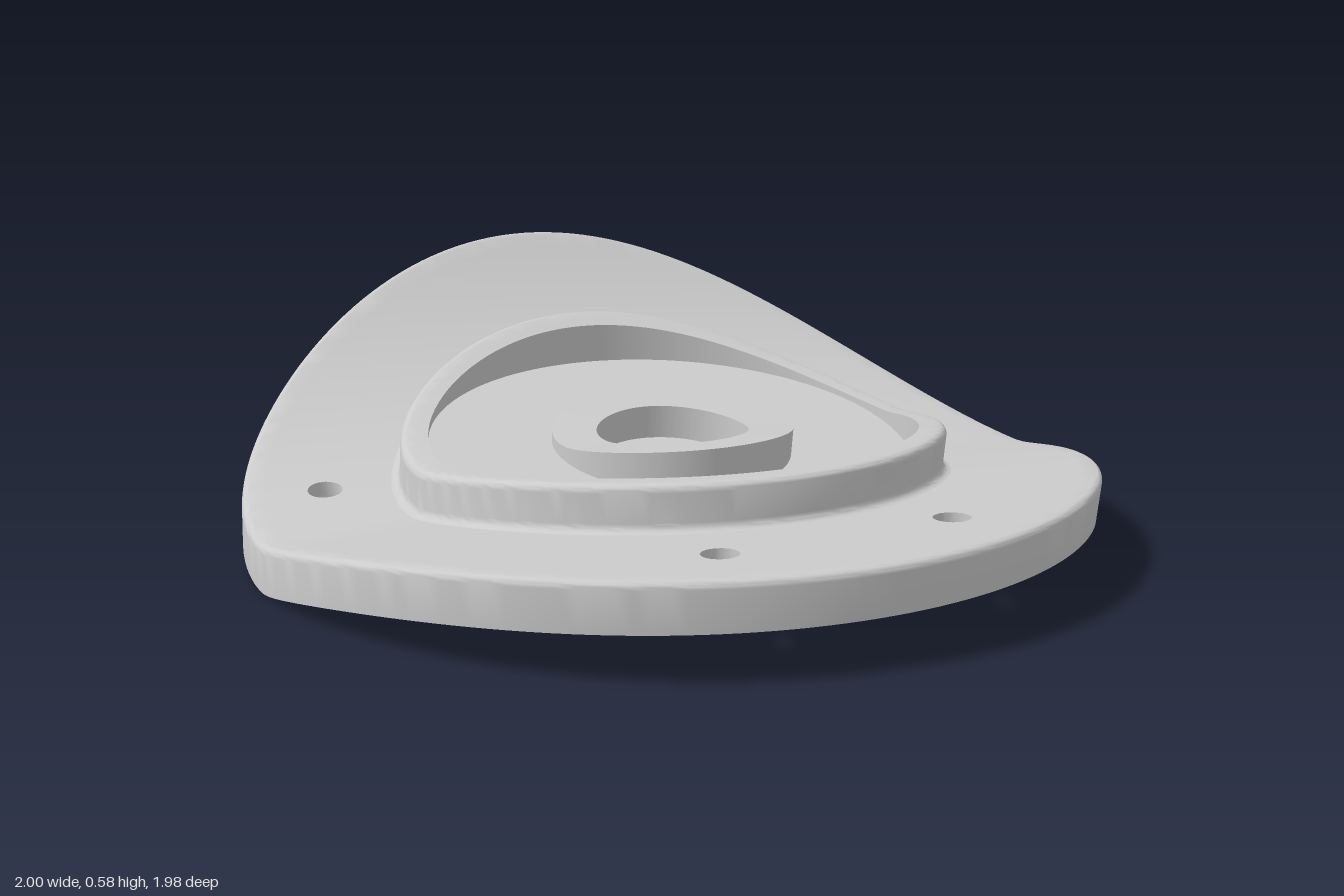
import * as THREE from 'three';
import { toCreasedNormals } from 'three/addons/utils/BufferGeometryUtils.js';

const SEGMENTS = 180;
const THICK = 0.11, RAISED = 0.216;
const TILT = 0.14; // the part's axis leans forward by this slope
const FLOOR = 0.21, SOCKET = 0.15; // heights of the flat, tilted floors at z = 0

// Height of the underside: a saddle that rises steeply at the back, gently in front
function baseHeight(x, z) {
  const t = Math.hypot(z, 0.05) - 0.05;
  const rise = 0.363 * z * z + 0.094 * z ** 4;
  const middle = 0.03 + (z < 0 ? rise : 0.145 * t - 0.058 * t * t);
  const edge = z < 0 ? rise : 0.12 * (1 - (1 - t) ** 2);
  return THREE.MathUtils.lerp(middle, edge, x * x);
}

// Place a point of the tilted cylinder, either h above the saddle or on a tilted plane
function bend(x, z, h, planar = false) {
  let y = 0.15, zs = z;
  for (let n = 0; n < 8; n++) {
    zs = 1.01 * z + TILT * y - 0.046;
    y = planar ? h - TILT * zs : baseHeight(x, zs) + h * (zs < 0 ? 1 + 0.25 * zs * zs : 1);
  }
  return new THREE.Vector3(x, y, zs);
}

const flat = (i, r) => {
  const a = (((i + SEGMENTS) % SEGMENTS) / SEGMENTS) * Math.PI * 2;
  return [r * Math.cos(a), r * Math.sin(a)];
};

// Collects quads and turns them into a mesh with creased normals
class Skin {
  constructor() { this.points = []; }
  tri(a, b, c) {
    if (a.distanceTo(b) < 1e-6 || b.distanceTo(c) < 1e-6 || a.distanceTo(c) < 1e-6) return;
    for (const p of [a, b, c]) this.points.push(p.x, p.y, p.z);
  }
  quad(a, b, c, d) { this.tri(a, b, c); this.tri(a, c, d); }
  // Sweep a profile of [radius, height, planar] round the axis
  sweep(profile, skip = () => false) {
    const at = (k, [r, h, planar]) => bend(...flat(k, r), h, planar);
    for (let j = 0; j < profile.length - 1; j++) {
      const p = profile[j], q = profile[j + 1];
      for (let i = 0; i < SEGMENTS; i++) {
        if (!skip(i, p[0], q[0])) this.quad(at(i, p), at(i, q), at(i + 1, q), at(i + 1, p));
      }
    }
  }
  mesh(name) {
    const g = new THREE.BufferGeometry();
    g.setAttribute('position', new THREE.Float32BufferAttribute(this.points, 3));
    const m = new THREE.Mesh(toCreasedNormals(g, 0.6), new THREE.MeshStandardMaterial({ color: 0xcccccc }));
    m.name = name;
    return m;
  }
}

// Quarter-round from outer wall to top
function fillet(r, h, size, steps = 5) {
  return Array.from({ length: steps + 1 }, (_, k) => {
    const a = (k / steps) * Math.PI / 2;
    return [r - size + size * Math.cos(a), h - size + size * Math.sin(a)];
  });
}

// Bolt holes: grid cells round each hole are replaced by a ring of quads
const HOLES = [1, -1].flatMap(s => [[s * 0.27, 0.774], [s * 0.787, -0.2]]).map(([x, z]) => {
  const k = Math.round(Math.atan2(z, x) / (Math.PI * 2) * SEGMENTS);
  return { x, z, k: (k + SEGMENTS) % SEGMENTS };
});
const HOLE_R = 0.04, BORE_R = 0.08, BORE_DEPTH = 0.075, SPAN = 4;
const PATCH = [0.71, 0.76, 0.813, 0.865, 0.915];

function isPatch(i, r0, r1) {
  const lo = Math.min(r0, r1), hi = Math.max(r0, r1);
  if (lo < PATCH[0] - 1e-6 || hi > PATCH[4] + 1e-6) return false;
  return HOLES.some(({ k }) => i >= k - SPAN && i < k + SPAN);
}

function addHole(skin, { x: cx, z: cz, k }) {
  const loop = [];
  for (let i = -SPAN; i < SPAN; i++) loop.push(flat(k + i, PATCH[0]));
  for (let j = 0; j < 4; j++) loop.push(flat(k + SPAN, PATCH[j]));
  for (let i = SPAN; i > -SPAN; i--) loop.push(flat(k + i, PATCH[4]));
  for (let j = 4; j > 0; j--) loop.push(flat(k - SPAN, PATCH[j]));
  const circle = (radius, h) => loop.map(([x, z]) => {
    const s = radius / Math.hypot(x - cx, z - cz);
    return bend(cx + (x - cx) * s, cz + (z - cz) * s, h);
  });
  // From the underside up through the counterbore to the top face
  const rings = [
    loop.map(p => bend(...p, 0)),
    circle(BORE_R, 0), circle(BORE_R, BORE_DEPTH),
    circle(HOLE_R, BORE_DEPTH), circle(HOLE_R, THICK),
    loop.map(p => bend(...p, THICK)),
  ];
  for (let j = 0; j < rings.length - 1; j++) {
    loop.forEach((_, n) => {
      const m = (n + 1) % loop.length;
      skin.quad(rings[j][n], rings[j + 1][n], rings[j + 1][m], rings[j][m]);
    });
  }
}

export function createModel() {
  const group = new THREE.Group();

  // Saddle-shaped plate with rounded rim and four counterbored bolt holes
  const inner = [0, 0.06, 0.12, 0.18, 0.24, 0.3, 0.36, 0.42, 0.48, 0.54, 0.6];
  const brim = [0.66, ...PATCH, 0.95];
  const plate = new Skin();
  plate.sweep([
    ...[...inner, ...brim, 1].map(r => [r, 0]),
    ...fillet(1, THICK, 0.018),
    ...brim.reverse().map(r => [r, THICK]),
  ], isPatch);
  HOLES.forEach(hole => addHole(plate, hole));
  group.add(plate.mesh('curvedPlate'));

  // Raised lip with a small cove at its foot, dropping to the pocket floor
  const cove = Array.from({ length: 5 }, (_, k) => {
    const a = (k / 4) * Math.PI / 2;
    return [0.66 - 0.02 * Math.sin(a), THICK + 0.02 * (1 - Math.cos(a))];
  });
  const lip = new Skin();
  lip.sweep([...cove, ...fillet(0.64, RAISED, 0.02), [0.597, RAISED], [0.575, RAISED], [0.575, FLOOR, true]]);
  group.add(lip.mesh('raisedLip'));

  // Flat, tilted pocket floor
  const floor = new Skin();
  floor.sweep([[0.575, FLOOR, true], [0.285, FLOOR, true]]);
  group.add(floor.mesh('pocketFloor'));

  // Central ring boss round a blind socket
  const boss = new Skin();
  boss.sweep([
    [0.285, FLOOR, true], [0.285, RAISED], [0.23, RAISED], [0.18, RAISED],
    [0.18, SOCKET, true], [0, SOCKET, true],
  ]);
  group.add(boss.mesh('centreBoss'));

  return group;
}
